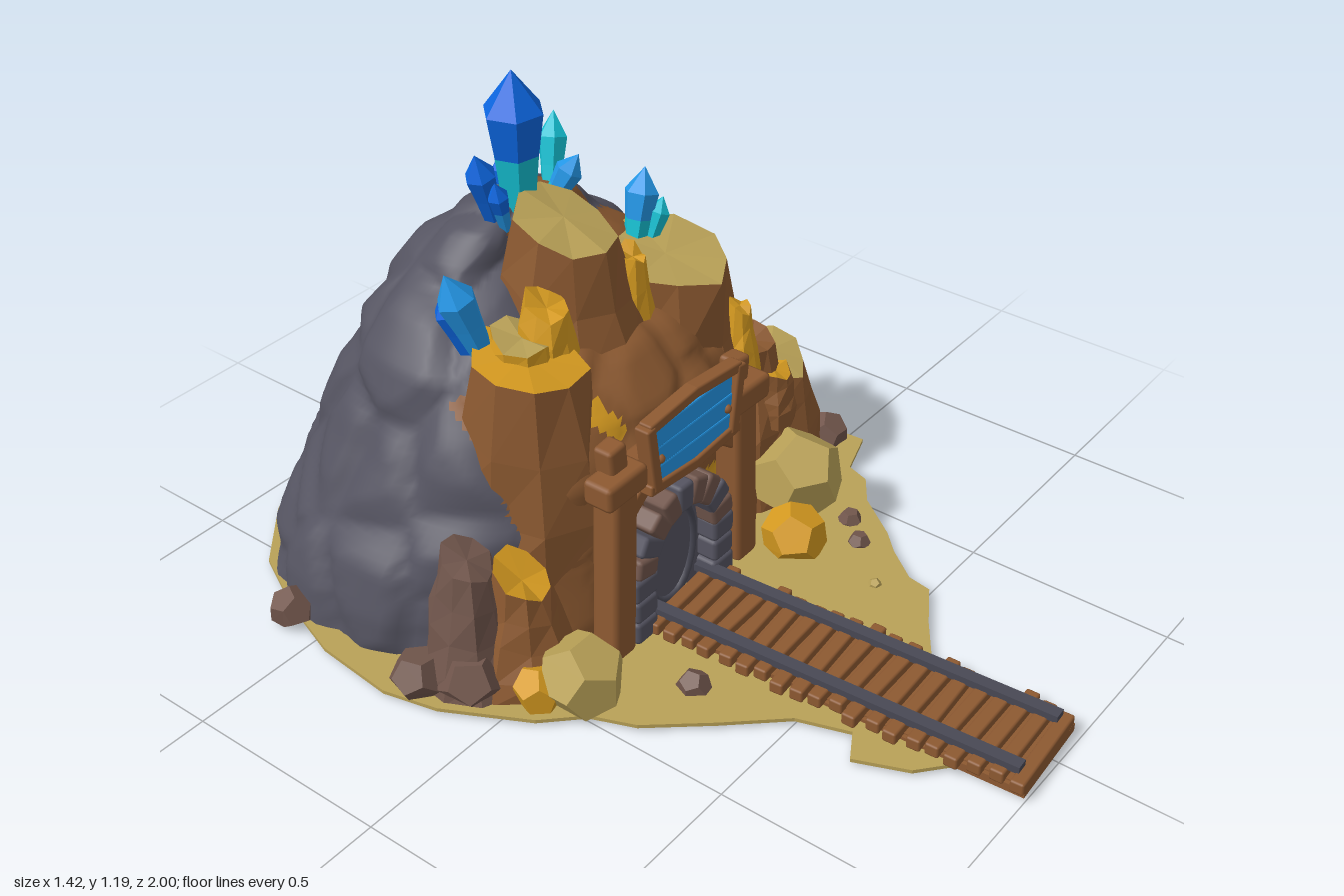
import * as THREE from 'three';
import { RoundedBoxGeometry } from 'three/addons/geometries/RoundedBoxGeometry.js';

const mat = (name, color, flatShading = false) => {
  const m = new THREE.MeshStandardMaterial({ color, flatShading });
  m.name = name;
  return m;
};
const hash = (a, b, c, k = 0) => {
  const s = Math.sin(a * 127.1 + b * 311.7 + c * 74.7 + k * 53.3) * 43758.5453;
  return s - Math.floor(s);
};
// Keeps rock from poking through the portal
const clampFront = (x, y, z) => (Math.abs(x + 0.08) < 0.3 && y < 0.6 ? Math.min(z, 0.022) : z);

// Cellular lumps, tall cells: nearest cell centre, and distance to the border
function cell(x, y, z) {
  const s = [0.2, 0.27, 0.2], p = [x / s[0], y / s[1], z / s[2]], f = p.map(Math.floor);
  let d1 = 9, d2 = 9, best = null;
  for (let i = -1; i < 2; i++) for (let j = -1; j < 2; j++) for (let k = -1; k < 2; k++) {
    const a = f[0] + i, b = f[1] + j, c = f[2] + k;
    const q = [a + hash(a, b, c, 1), b + hash(a, b, c, 2), c + hash(a, b, c, 3)];
    const d = Math.hypot(q[0] - p[0], q[1] - p[1], q[2] - p[2]);
    if (d < d1) { d2 = d1; d1 = d; best = { x: q[0] * s[0], y: q[1] * s[1], z: q[2] * s[2], r: hash(a, b, c, 4) }; }
    else if (d < d2) d2 = d;
  }
  return { ...best, edge: d2 - d1 };
}

export function createModel() {
  const root = new THREE.Group();
  const M = {
    slate: mat('slate', 0x555461), brown: mat('brownRock', 0x8a5830), dull: mat('dullRock', 0x71564c),
    ochre: mat('sand', 0xb9a157), yellow: mat('goldRock', 0xd59a20), wood: mat('wood', 0x8d5931),
    steel: mat('steel', 0x484854), deep: mat('deepBlue', 0x0c66e0, true), sky: mat('skyBlue', 0x2499ea, true),
    cyan: mat('cyan', 0x14c0d2, true),
  };
  const add = (name, geo, material, pos = [0, 0, 0], rot = [0, 0, 0], parent = root) => {
    const m = new THREE.Mesh(geo, material);
    m.name = name;
    m.position.set(...pos);
    m.rotation.set(...rot);
    parent.add(m);
    return m;
  };

  // Mountain: rings of [y, left x, right x, front z, back z]
  const rings = [
    [0.005, -0.64, 0.66, 0.04, -0.98], [0.1, -0.63, 0.645, 0.04, -0.95], [0.2, -0.6, 0.61, 0.04, -0.92],
    [0.3, -0.545, 0.56, 0.035, -0.88], [0.4, -0.49, 0.5, 0.03, -0.845], [0.5, -0.445, 0.445, -0.01, -0.8],
    [0.6, -0.4, 0.4, -0.1, -0.75], [0.68, -0.33, 0.34, -0.24, -0.7], [0.76, -0.24, 0.24, -0.33, -0.645],
    [0.83, -0.17, 0.16, -0.35, -0.57], [0.875, -0.1, 0.08, -0.36, -0.49], [0.885, -0.04, -0.03, -0.4, -0.42],
  ];
  const U = 160, V = 72, P = [], I = [];
  for (let j = 0; j <= V; j++) {
    const t = (j / V) * (rings.length - 1), k = Math.min(Math.floor(t), rings.length - 2);
    const [y, l, r, f, b] = rings[k].map((v, n) => v + (rings[k + 1][n] - v) * (t - k));
    for (let i = 0; i < U; i++) {
      const a = (i / U) * Math.PI * 2, c = Math.cos(a), s = Math.sin(a);
      const pw = (v) => Math.sign(v) * Math.abs(v) ** 0.88;
      let x = (l + r) / 2 + pw(c) * (r - l) / 2, z = (f + b) / 2 + pw(s) * (f - b) / 2;
      const d = 0.024 * Math.min(cell(x, y, z).edge / 0.35, 1) - 0.017;
      x += c * d; z += s * d;
      P.push(x, y, clampFront(x, y, z));
      if (j < V) {
        const n = (i + 1) % U, p = j * U;
        I.push(p + i, p + U + i, p + n, p + n, p + U + i, p + U + n);
      }
    }
  }
  const hill = new THREE.BufferGeometry();
  hill.setAttribute('position', new THREE.Float32BufferAttribute(P, 3));
  const buckets = [[], [], [], []];
  for (let n = 0; n < I.length; n += 3) {
    const c = [0, 1, 2].map((k) => (P[I[n] * 3 + k] + P[I[n + 1] * 3 + k] + P[I[n + 2] * 3 + k]) / 3);
    const q = cell(...c);
    let m = 1;
    if (q.z < -0.34 - 0.35 * q.x) m = 0;
    else if (Math.abs(q.x) > 0.38 && q.z < -0.1) m = 2;
    else if (q.r > 0.92 && q.y > 0.25) m = 3;
    buckets[m].push(I[n], I[n + 1], I[n + 2]);
  }
  hill.setIndex(buckets.flat());
  hill.computeVertexNormals();
  let start = 0;
  buckets.forEach((b, n) => { hill.addGroup(start, b.length, n); start += b.length; });
  add('mountain', hill, [M.slate, M.brown, M.dull, M.yellow]);

  // Craggy outcrops with coloured tops that slope to the front
  const crag = (name, x, z, y0, y1, rt, rb, side, top, tilt = 0.3) => {
    const h = y1 - y0, g = new THREE.CylinderGeometry(rt, rb, h, 9, 4).toNonIndexed(), p = g.attributes.position;
    for (let i = 0; i < p.count; i++) {
      const v = [p.getX(i), p.getY(i), p.getZ(i)], k = v.map((n) => Math.round(n * 200));
      const s = 0.9 + 0.22 * hash(k[0], k[1], k[2], x);
      const X = x + v[0] * s, Z = z + v[2] * s;
      let Y = y0 + h / 2 + v[1];
      if (Y > y0 + 0.01) Y += (hash(k[0], k[1], k[2], 7) - 0.5) * 0.025 - v[2] * tilt * (v[1] / h + 0.5);
      p.setXYZ(i, X, Y, clampFront(X, Y, Z));
    }
    g.computeVertexNormals();
    add(name, g, [side, top, side]);
  };
  crag('rightLedge', 0.23, -0.21, 0.005, 0.685, 0.145, 0.25, M.brown, M.ochre, 0.2);
  crag('leftLedge', -0.265, -0.2, 0.005, 0.655, 0.125, 0.22, M.brown, M.yellow, 0.2);
  crag('leftLedgeCap', -0.24, -0.23, 0.5, 0.685, 0.07, 0.1, M.yellow, M.ochre, 0.2);
  crag('peak', -0.035, -0.28, 0.3, 0.865, 0.105, 0.27, M.brown, M.ochre, 0.5);
  crag('goldVein', -0.18, -0.21, 0.5, 0.745, 0.045, 0.1, M.yellow, M.yellow, 0.6);
  crag('goldVein', 0.075, -0.18, 0.5, 0.765, 0.03, 0.07, M.yellow, M.yellow, 0.6);
  crag('goldVein', 0.315, -0.06, 0.36, 0.56, 0.025, 0.055, M.yellow, M.yellow);
  crag('goldVein', 0.4, -0.02, 0.22, 0.36, 0.04, 0.06, M.brown, M.yellow);
  crag('sideBlock', 0.5, -0.1, 0.005, 0.325, 0.09, 0.145, M.brown, M.ochre);
  crag('sideBlock', 0.38, -0.07, 0.005, 0.44, 0.05, 0.13, M.brown, M.brown);
  crag('sideBlock', -0.54, -0.14, 0.005, 0.31, 0.055, 0.125, M.dull, M.dull, 0.5);
  crag('sideBlock', -0.46, -0.06, 0.005, 0.26, 0.06, 0.13, M.brown, M.yellow, 0.6);

  // Sandy ground
  const outline = [[-0.24, -1], [-0.08, -1], [0.12, -0.985], [0.35, -0.9], [0.53, -0.75], [0.62, -0.6], [0.68, -0.4],
    [0.7, -0.1], [0.71, 0.05], [0.59, 0.09], [0.57, 0.15], [0.5, 0.2], [0.42, 0.31], [0.37, 0.36], [0.31, 0.44], [0.3, 0.5],
    [0.2, 0.56], [0.1, 0.63], [0, 0.72], [-0.15, 0.84], [-0.22, 0.78], [-0.27, 0.66], [-0.2, 0.62], [-0.24, 0.5],
    [-0.35, 0.38], [-0.46, 0.25], [-0.5, 0.15], [-0.58, 0.07], [-0.68, -0.12], [-0.71, -0.25], [-0.69, -0.45],
    [-0.63, -0.62], [-0.55, -0.78], [-0.4, -0.91]];
  const land = new THREE.Shape(outline.map(([x, z]) => new THREE.Vector2(x, -z)));
  add('ground', new THREE.ExtrudeGeometry(land, { depth: 0.009, bevelEnabled: false }), M.ochre, [0, 0.003, 0], [-Math.PI / 2, 0, 0]);

  // Boulders and pebbles: [x, y, z, radius, material]
  [[-0.46, 0.07, 0.1, 0.1, M.ochre], [-0.53, 0.05, 0.04, 0.06, M.yellow], [0.37, 0.115, 0.08, 0.115, M.ochre],
    [0.245, 0.045, 0.16, 0.08, M.yellow], [0.46, 0.06, 0.07, 0.06, M.yellow], [0.655, 0.03, -0.03, 0.06, M.dull],
    [0.65, 0.03, -0.42, 0.05, M.dull], [0.63, 0.04, -0.6, 0.06, M.dull], [-0.65, 0.03, -0.59, 0.055, M.dull],
    [-0.65, 0.04, -0.2, 0.065, M.dull], [-0.59, 0.05, -0.1, 0.08, M.dull], [-0.29, 0.012, 0.27, 0.04, M.dull],
    [0.41, 0.012, 0.21, 0.03, M.dull], [0.35, 0.012, 0.275, 0.028, M.dull], [0.24, 0.01, 0.39, 0.017, M.ochre],
  ].forEach(([x, y, z, r, m], n) => {
    const g = new THREE.DodecahedronGeometry(r, 0).rotateX(n).rotateY(n * 2.3), p = g.attributes.position;
    for (let i = 0; i < p.count; i++) p.setY(i, Math.max(p.getY(i), 0.005 - y));
    g.computeVertexNormals();
    add('boulder', g, m, [x, y, z]);
  });

  // Crystals: tapered hexagons, two colours
  const crystal = (base, tip, r, low, high) => {
    const a = new THREE.Vector3(...base), d = new THREE.Vector3(...tip).sub(a), h = d.length();
    const g = new THREE.Group();
    g.name = 'crystal';
    g.position.copy(a);
    g.quaternion.setFromUnitVectors(new THREE.Vector3(0, 1, 0), d.normalize());
    const part = (pts, m) => add('crystalPart', new THREE.LatheGeometry(pts.map(([k, t]) => new THREE.Vector2(k * r, t * h)), 6), m, [0, 0, 0], [0, 0.3, 0], g);
    part([[0.55, 0], [0.78, 0.42]], low);
    part([[0.78, 0.42], [1, 0.72], [0, 1]], high);
    root.add(g);
  };
  crystal([-0.045, 0.85, -0.4], [-0.05, 1.185, -0.4], 0.07, M.cyan, M.deep);
  crystal([-0.1, 0.83, -0.42], [-0.155, 1.02, -0.42], 0.036, M.deep, M.deep);
  crystal([-0.1, 0.83, -0.39], [-0.14, 0.96, -0.38], 0.025, M.sky, M.deep);
  crystal([0.02, 0.83, -0.44], [0.055, 1.02, -0.46], 0.036, M.cyan, M.sky);
  crystal([0.06, 0.82, -0.4], [0.125, 1.015, -0.44], 0.035, M.cyan, M.cyan);
  crystal([0.03, 0.82, -0.39], [0.09, 0.95, -0.34], 0.033, M.cyan, M.sky);
  crystal([-0.01, 0.84, -0.46], [0, 0.93, -0.5], 0.025, M.sky, M.deep);
  crystal([-0.07, 0.84, -0.45], [-0.08, 0.95, -0.48], 0.028, M.cyan, M.sky);
  crystal([-0.29, 0.63, -0.29], [-0.36, 0.855, -0.33], 0.045, M.sky, M.sky);
  crystal([-0.3, 0.63, -0.32], [-0.345, 0.8, -0.355], 0.038, M.deep, M.deep);
  crystal([0.225, 0.65, -0.3], [0.285, 0.85, -0.31], 0.042, M.cyan, M.sky);
  crystal([0.25, 0.66, -0.28], [0.3, 0.78, -0.27], 0.028, M.cyan, M.cyan);

  // Timber portal
  const beam = (name, w, h, d, pos, rz = 0, m = M.wood) => add(name, new RoundedBoxGeometry(w, h, d, 1, Math.min(w, h, d) * 0.18), m, pos, [0, 0, rz]);
  beam('post', 0.075, 0.45, 0.07, [-0.295, 0.23, 0.06], -0.03);
  beam('post', 0.075, 0.45, 0.07, [0.145, 0.23, 0.06], 0.03);
  beam('crossbeam', 0.5, 0.055, 0.06, [-0.08, 0.47, 0.065]);
  for (const s of [-1, 1]) {
    beam('beamEnd', 0.13, 0.062, 0.075, [-0.08 + s * 0.22, 0.47, 0.072], s * -0.02);
    beam('postTop', 0.055, 0.07, 0.05, [-0.08 + s * 0.215, 0.525, 0.055], s * -0.1);
    beam('brace', 0.17, 0.04, 0.04, [-0.08 + s * 0.15, 0.385, 0.06], s * -0.65);
  }

  // Sign: blue planks in a bowed frame
  const cx = -0.078;
  for (let i = 0; i < 3; i++) beam('signPlank', 0.28 - Math.abs(i - 1) * 0.01, 0.051, 0.024, [cx, 0.447 + i * 0.05, 0.097], 0.01 * (i - 1), M.sky);
  for (const s of [-1, 1]) {
    beam('signSide', 0.028, 0.17, 0.04, [cx + s * 0.147, 0.505, 0.1], s * -0.14);
    for (const t of [-1, 1]) beam('signRail', 0.165, 0.026, 0.035, [cx + s * 0.077, 0.505 + t * 0.085, 0.1], s * t * -0.09);
    add('signBolt', new THREE.SphereGeometry(0.011, 8, 6), M.wood, [cx + s * 0.118, 0.49, 0.108]);
  }

  // Stone arch and dark tunnel mouth
  const ax = -0.085, ay = 0.18;
  const mouth = new THREE.Shape();
  mouth.moveTo(-0.12, 0).lineTo(0.12, 0).lineTo(0.12, ay).absarc(0, ay, 0.12, 0, Math.PI, false);
  add('tunnelMouth', new THREE.ExtrudeGeometry(mouth, { depth: 0.02, bevelEnabled: false }), M.slate, [ax, 0.008, 0.025]);
  add('tunnelRim', new THREE.TorusGeometry(0.085, 0.009, 6, 28).scale(1, 1.6, 1), M.steel, [ax, 0.145, 0.046]);
  for (let i = 0; i < 9; i++) {
    const a = (i + 0.5) / 9 * Math.PI, r = 0.137;
    beam('archStone', 0.066 + 0.01 * hash(i, 1, 2), 0.05, 0.07, [ax + Math.cos(a) * r, ay + Math.sin(a) * r, 0.062], a, i % 3 === 1 ? M.slate : M.dull);
  }
  for (const s of [-1, 1]) for (let i = 0; i < 3; i++) {
    beam('jambStone', 0.07 + 0.012 * hash(i, s, 5), 0.058, 0.07, [ax + s * 0.14, 0.038 + i * 0.058, 0.062], 0, M.slate);
  }

  // Mine track, slightly turned
  const track = new THREE.Group();
  track.name = 'track';
  track.position.set(-0.078, 0, 0.05);
  track.rotation.y = 0.062;
  root.add(track);
  add('trackBed', new THREE.BoxGeometry(0.22, 0.018, 0.93), M.wood, [0, 0.014, 0.475], [0, 0, 0], track);
  add('trackBase', new THREE.BoxGeometry(0.24, 0.02, 0.52), M.wood, [0, 0.01, 0.68], [0, 0, 0], track);
  for (let i = 0; i < 20; i++) {
    add('sleeper', new RoundedBoxGeometry(0.25 + 0.04 * hash(i, 3, 1), 0.03, 0.033, 1, 0.005), M.wood,
      [(hash(i, 1, 1) - 0.5) * 0.02, 0.029, 0.035 + i * 0.0468], [0, (hash(i, 2, 9) - 0.5) * 0.08, 0], track);
  }
  for (const s of [-1, 1]) add('rail', new THREE.BoxGeometry(0.03, 0.018, 0.91), M.steel, [s * 0.09, 0.05, 0.462], [0, 0, 0], track);
  return root;
}
